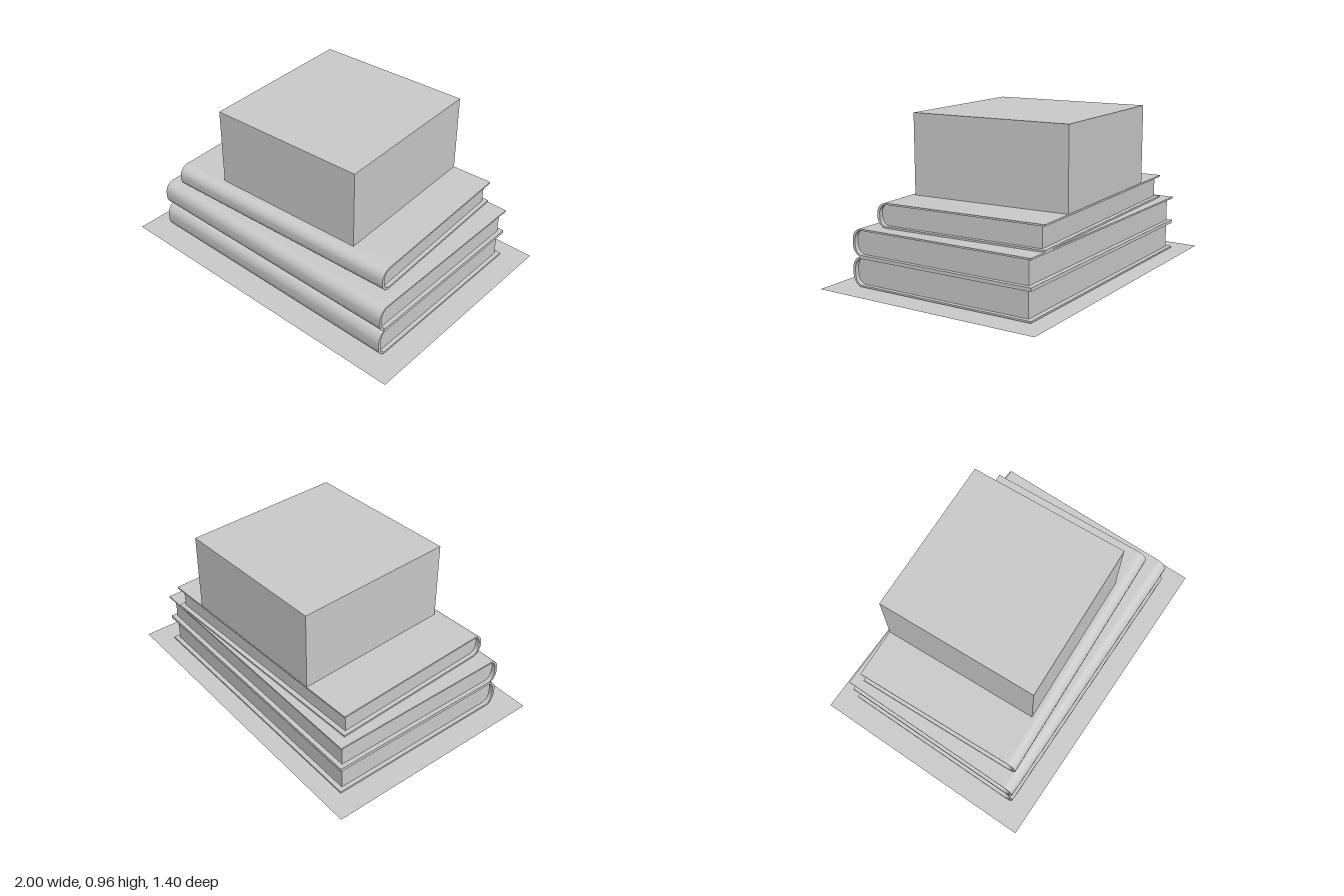
import * as THREE from 'three';
import { toCreasedNormals } from 'three/addons/utils/BufferGeometryUtils.js';

const grey = new THREE.MeshStandardMaterial({ color: 0xcccccc });
const greyDouble = new THREE.MeshStandardMaterial({ color: 0xcccccc, side: THREE.DoubleSide });

function mesh(name, geometry, material = grey) {
  const m = new THREE.Mesh(geometry, material);
  m.name = name;
  return m;
}

// Extrudes a (z, y) section along x, centred on x = 0
function extrudeAlongX(shape, width) {
  const g = new THREE.ExtrudeGeometry(shape, { depth: width, bevelEnabled: false, curveSegments: 10 });
  g.translate(0, 0, -width / 2);
  g.rotateY(-Math.PI / 2);
  return toCreasedNormals(g, 0.6);
}

// Points running from the back edge along the bottom, round the spine and back along the top
function sectionPoints(back, front, bottom, top, rx) {
  const mid = (bottom + top) / 2;
  const ry = (top - bottom) * 0.42;
  const path = new THREE.Path();
  path.moveTo(back, bottom);
  path.lineTo(front - rx, bottom);
  path.absellipse(front - rx, bottom + ry, rx, ry, -Math.PI / 2, 0, false);
  path.lineTo(front, mid);
  path.lineTo(front, top - ry);
  path.absellipse(front - rx, top - ry, rx, ry, 0, Math.PI / 2, false);
  path.lineTo(back, top);
  return path.getPoints(10);
}

// Hardback lying flat with its spine towards +z
function createBook(name, width, depth, height) {
  const book = new THREE.Group();
  book.name = name;
  const board = 0.01, spine = 0.016, half = depth / 2;
  const outer = sectionPoints(-half, half, 0, height, 0.06);
  const inner = sectionPoints(-half, half - spine, board, height - board, 0.046);
  const cover = new THREE.Shape([...outer, ...inner.slice().reverse()]);
  book.add(mesh('cover', extrudeAlongX(cover, width)));

  // Page block, set back from the cover on the three open sides
  const pages = new THREE.Shape(sectionPoints(-half + 0.028, half - spine, board, height - board, 0.046));
  book.add(mesh('pages', extrudeAlongX(pages, width - 0.05)));
  return book;
}

export function createModel() {
  const model = new THREE.Group();
  model.name = 'bookStack';

  // Thin sheet under the stack
  const sheet = mesh('groundSheet', new THREE.PlaneGeometry(2, 1.405), greyDouble);
  sheet.rotation.x = -Math.PI / 2;
  model.add(sheet);

  // Books: name, width, depth, height, x, y, z, turn
  const books = [
    ['bottomBook', 1.715, 1.175, 0.174, -0.002, 0.004, -0.003, 0],
    ['middleBook', 1.715, 1.172, 0.162, -0.002, 0.178, -0.005, 0],
    ['topBook', 1.532, 1.06, 0.144, -0.015, 0.34, -0.029, 0.045],
  ];
  for (const [name, w, d, h, x, y, z, turn] of books) {
    const book = createBook(name, w, d, h);
    book.position.set(x, y, z);
    book.rotation.y = turn;
    model.add(book);
  }

  // Box on top of the books
  const box = mesh('box', new THREE.BoxGeometry(0.972, 0.475, 0.984));
  box.position.set(0.008, 0.7225, -0.067);
  box.rotation.y = 0.045;
  model.add(box);

  return model;
}
